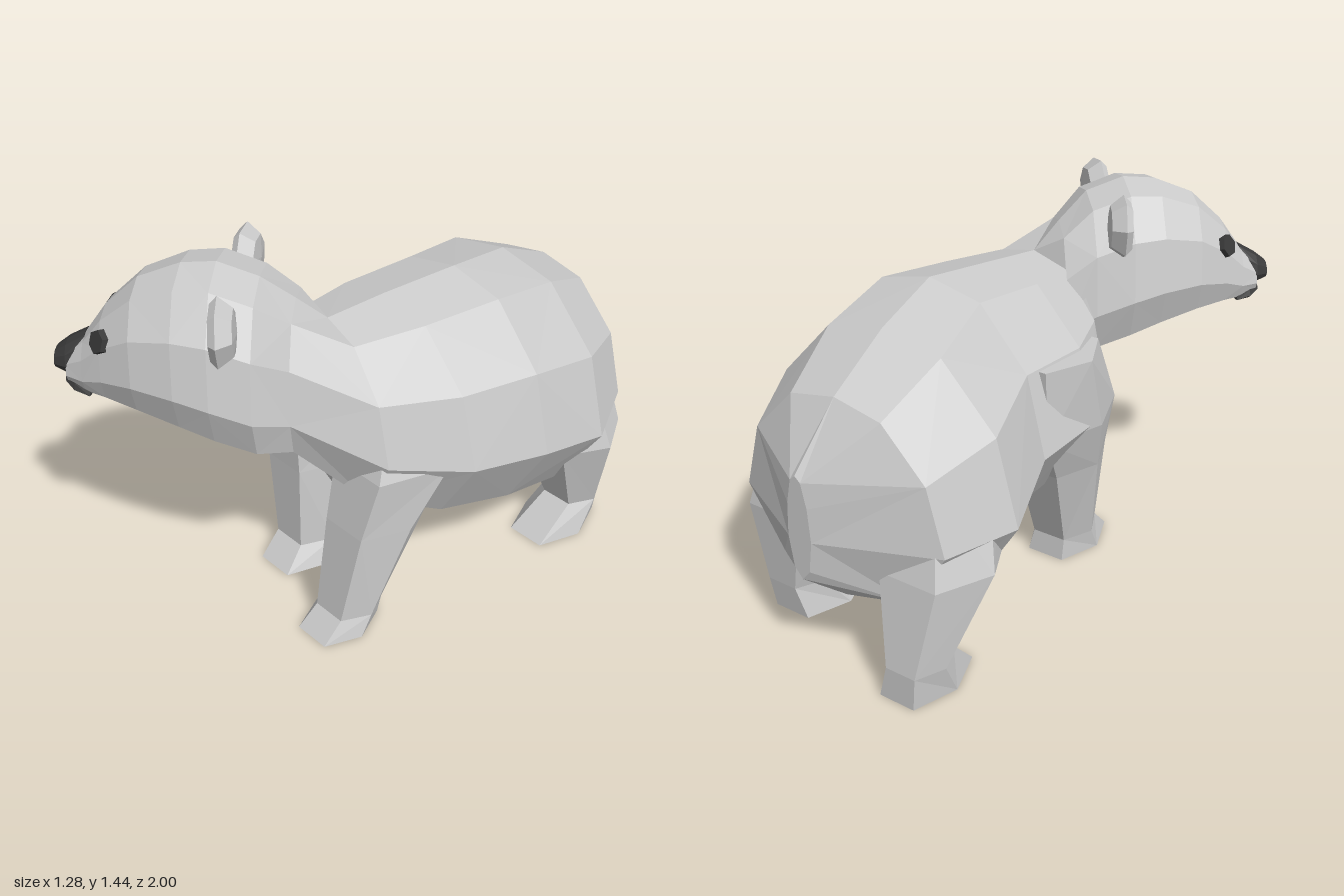
import * as THREE from 'three';

const grey = new THREE.MeshStandardMaterial({ color: 0xcccccc, flatShading: true });
const dark = new THREE.MeshStandardMaterial({ color: 0x3a3a3a, flatShading: true });

// Skin a list of equal-length rings (counter-clockwise seen from the far end), closing both ends.
function loft(name, rings, material) {
  const pos = [];
  const tri = (...pts) => pts.forEach((p) => pos.push(p.x, p.y, p.z));
  const n = rings[0].length;
  const middle = (r) => r.reduce((s, p) => s.add(p), new THREE.Vector3()).divideScalar(n);
  const first = rings[0], last = rings[rings.length - 1];
  const c0 = middle(first), c1 = middle(last);
  for (let j = 0; j < n; j++) {
    const k = (j + 1) % n;
    for (let i = 0; i + 1 < rings.length; i++) {
      const a = rings[i][j], b = rings[i][k], c = rings[i + 1][k], d = rings[i + 1][j];
      if ((i + j) % 2) { tri(a, b, c); tri(a, c, d); } else { tri(a, b, d); tri(b, c, d); }
    }
    tri(c0, first[k], first[j]);
    tri(c1, last[j], last[k]);
  }
  const geo = new THREE.BufferGeometry();
  geo.setAttribute('position', new THREE.Float32BufferAttribute(pos, 3));
  geo.computeVertexNormals();
  const mesh = new THREE.Mesh(geo, material);
  mesh.name = name;
  return mesh;
}

// Upright cross-sections: half outlines from top to bottom as [width, height] fractions.
const bodyHalf = [[0.44, 0.95], [0.84, 0.72], [1, 0.4], [0.66, 0.1]];
const headHalf = [[0.5, 0.95], [0.86, 0.73], [1, 0.4], [0.83, 0.17]];
function section(half, cx, cz, yaw, hw, top, bottom) {
  const outline = [[0, 1], ...half.map(([w, h]) => [-w, h]), [0, 0], ...half.slice().reverse()];
  return outline.map(([w, h]) => new THREE.Vector3(
    cx + w * hw * Math.cos(yaw), bottom + h * (top - bottom), cz + w * hw * Math.sin(yaw)));
}

// The head is turned towards -x: f runs forward, s to its own left.
const YAW = 0.85;
const headPoint = (f, s, y) => new THREE.Vector3(
  -0.14 - f * Math.sin(YAW) + s * Math.cos(YAW), y, 0.54 + f * Math.cos(YAW) + s * Math.sin(YAW));
function headSection([f, s, hw, top, bottom]) {
  const c = headPoint(f, s, 0);
  return section(headHalf, c.x, c.z, YAW, hw, top, bottom);
}

// Leg: horizontal six-sided rings given as [y, x, z, half width, half length].
const hex = [[1, 0], [0.55, -1], [-0.55, -1], [-1, 0], [-0.55, 1], [0.55, 1]];
const leg = (name, rows) => loft(name, rows.map(([y, x, z, hx, hz]) =>
  hex.map(([u, v]) => new THREE.Vector3(x + u * hx, y, z + v * hz))), grey);

export function createModel() {
  const bear = new THREE.Group();
  bear.name = 'bear';

  // Rump, back, chest, neck and head in one skin
  const torso = [
    [0.11, -1.0, 0, 0.05, 0.8, 0.4],
    [0.065, -0.84, 0, 0.43, 1.03, 0.26],
    [0.085, -0.56, 0, 0.545, 1.165, 0.17],
    [0.13, -0.24, 0, 0.49, 1.23, 0.26],
    [0.07, 0.05, 0, 0.46, 1.21, 0.32],
    [0.03, 0.28, 0.15, 0.36, 1.19, 0.47],
  ].map((r) => section(bodyHalf, ...r));
  const head = [
    [-0.2, -0.04, 0.24, 1.29, 0.69],
    [-0.09, 0, 0.295, 1.39, 0.73],
    [0.05, 0, 0.3, 1.44, 0.78],
    [0.17, 0, 0.28, 1.43, 0.83],
    [0.32, 0, 0.23, 1.37, 0.88],
    [0.44, 0, 0.165, 1.26, 0.91],
    [0.52, 0, 0.12, 1.15, 0.93],
    [0.59, 0, 0.075, 1.08, 0.96],
  ].map(headSection);
  bear.add(loft('bodyAndHead', [...torso, ...head], grey));

  // Nose and mouth
  bear.add(loft('nose', [
    [0.52, 0, 0.06, 1.155, 1.02], [0.59, 0, 0.07, 1.115, 0.99], [0.635, 0, 0.05, 1.08, 1.01],
  ].map(headSection), dark));
  bear.add(loft('mouth', [
    [0.5, 0, 0.125, 0.98, 0.95], [0.56, 0, 0.1, 1.0, 0.945], [0.6, 0, 0.06, 1.0, 0.965],
  ].map(headSection), dark));

  // Eyes and cupped ears on both sides of the head
  const up = new THREE.Vector3(0, 1, 0);
  const cup = [[0, -0.055], [0.08, -0.045], [0.118, 0.005], [0.092, 0.03], [0, -0.015]]
    .map(([r, h]) => new THREE.Vector2(r, h));
  for (const [side, s] of [['left', 1], ['right', -1]]) {
    const out = (f, w, y) => headPoint(f, w * s, y).sub(headPoint(0, 0, 0)).normalize();

    const eye = new THREE.Mesh(new THREE.CylinderGeometry(0.042, 0.046, 0.03, 6), dark);
    eye.name = side + 'Eye';
    eye.position.copy(headPoint(0.435, 0.13 * s, 1.19));
    eye.quaternion.setFromUnitVectors(up, out(0.65, 0.65, 0.35));
    bear.add(eye);

    const ear = new THREE.Mesh(new THREE.LatheGeometry(cup, 7), grey);
    ear.name = side + 'Ear';
    ear.position.copy(headPoint(0, 0.25 * s, 1.325));
    ear.quaternion.setFromUnitVectors(up, out(1, 0.1, 0));
    bear.add(ear);
  }

  // Legs in mid-stride, widening into shoulders and haunches
  bear.add(leg('leftFrontLeg', [
    [0, 0.22, 0.435, 0.13, 0.135], [0.08, 0.23, 0.385, 0.12, 0.105],
    [0.46, 0.25, 0.25, 0.165, 0.175], [0.7, 0.265, 0.12, 0.205, 0.25], [0.98, 0.22, 0.08, 0.15, 0.16],
  ]));
  bear.add(leg('rightFrontLeg', [
    [0, -0.17, 0.25, 0.14, 0.17], [0.09, -0.18, 0.21, 0.125, 0.12],
    [0.45, -0.2, 0.14, 0.16, 0.18], [0.66, -0.22, 0.08, 0.185, 0.24], [0.95, -0.22, 0, 0.18, 0.18],
  ]));
  bear.add(leg('leftHindLeg', [
    [0, 0.41, -0.6, 0.14, 0.17], [0.13, 0.43, -0.69, 0.115, 0.1],
    [0.46, 0.41, -0.645, 0.21, 0.175], [0.78, 0.34, -0.6, 0.17, 0.18],
  ]));
  bear.add(leg('rightHindLeg', [
    [0, -0.23, -0.78, 0.13, 0.17], [0.13, -0.25, -0.84, 0.11, 0.11],
    [0.46, -0.245, -0.69, 0.21, 0.2], [0.78, -0.19, -0.6, 0.18, 0.18],
  ]));
  return bear;
}
